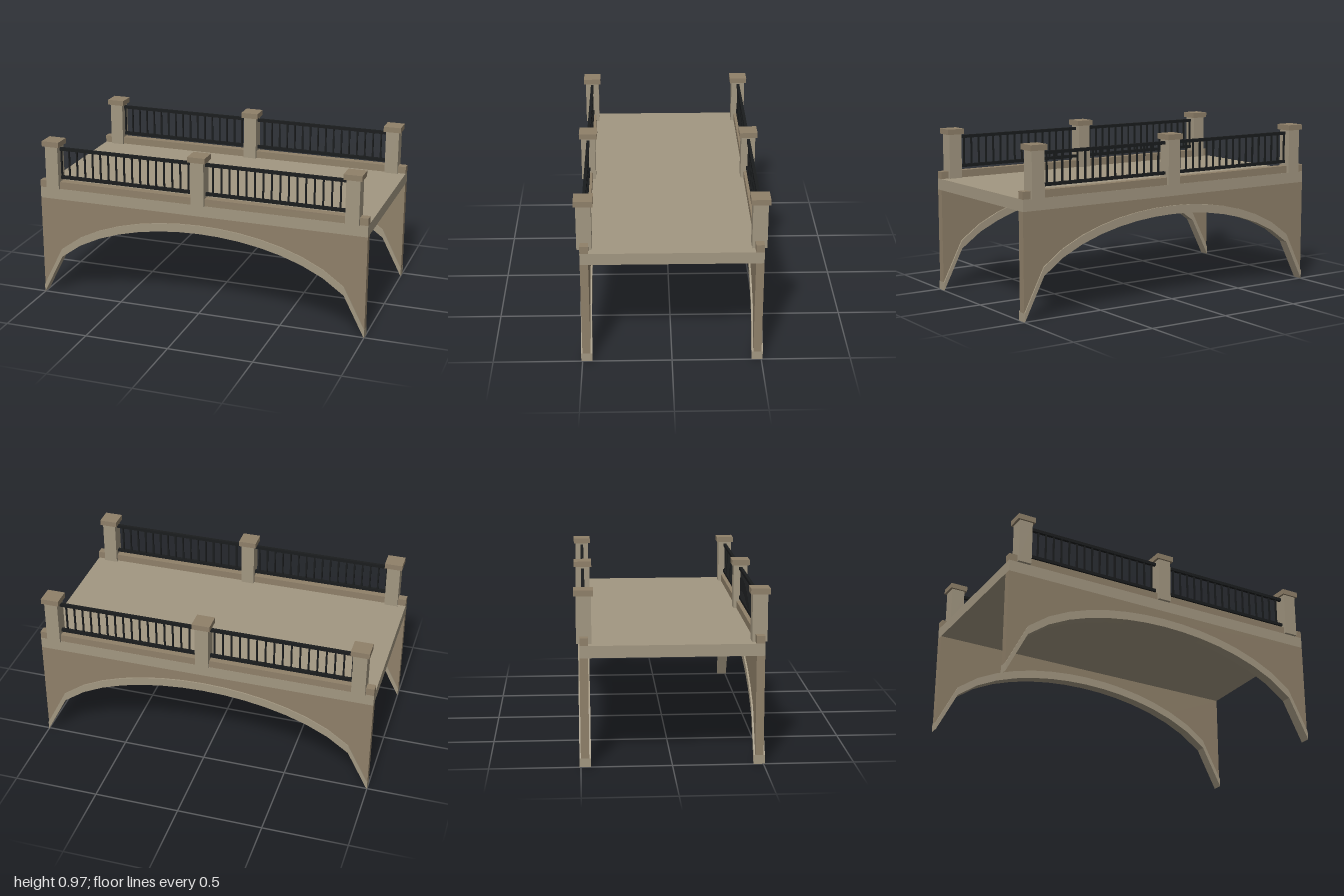
import * as THREE from 'three';

const mat = (color) => new THREE.MeshStandardMaterial({ color, flatShading: true });

export function createModel() {
  const bridge = new THREE.Group();
  bridge.name = 'archBridge';
  const paleStone = mat(0xa29781), darkStone = mat(0x8f8069), iron = mat(0x1a1c1d);

  const add = (name, geometry, material, parent, x = 0, y = 0, z = 0) => {
    const mesh = new THREE.Mesh(geometry, material);
    mesh.name = name;
    mesh.position.set(x, y, z);
    parent.add(mesh);
    return mesh;
  };
  const box = (name, w, y0, y1, d, material, parent, x, z) =>
    add(name, new THREE.BoxGeometry(w, y1 - y0, d), material, parent, x, (y0 + y1) / 2, z);

  // Half-ellipse sampled at even steps along the span
  const arch = (lift) => Array.from({ length: 17 }, (_, i) => {
    const x = -1 + i / 8;
    return new THREE.Vector2(x, lift + 0.505 * Math.sqrt(1 - x * x));
  });
  const slab = (points, depth) =>
    new THREE.ExtrudeGeometry(new THREE.Shape(points), { depth, bevelEnabled: false })
      .translate(0, 0, -depth / 2);

  const wallOutline = [...arch(0.05), new THREE.Vector2(1, 0.61), new THREE.Vector2(-1, 0.61)];
  const ringOutline = [...arch(0), ...arch(0.05).reverse()];

  // Roadway
  box('deck', 2, 0.61, 0.677, 1, paleStone, bridge, 0, 0);

  for (const side of [1, -1]) {
    const half = new THREE.Group();
    half.name = side > 0 ? 'frontSide' : 'backSide';
    half.position.z = side * 0.476;
    bridge.add(half);

    // Arch and wall below the deck
    add('spandrelWall', slab(wallOutline, 0.046), darkStone, half, 0, 0, side * 0.001);
    add('archRing', slab(ringOutline, 0.063), paleStone, half);

    // Curb and posts
    box('curb', 2, 0.677, 0.72, 0.047, darkStone, half, 0, 0);
    for (const x of [-0.912, 0, 0.912]) {
      box('post', 0.08, 0.677, 0.94, 0.083, paleStone, half, x, 0);
      box('postCap', 0.106, 0.94, 0.972, 0.106, darkStone, half, x, 0);
    }

    // Iron railing
    for (const y of [0.745, 0.92]) {
      box('rail', 1.76, y - 0.009, y + 0.009, 0.018, iron, half, 0, 0);
    }
    for (let i = 0; i < 35; i++) {
      box('baluster', 0.009, 0.745, 0.92, 0.009, iron, half, -0.866 + i * 0.05, 0);
    }
  }
  return bridge;
}
